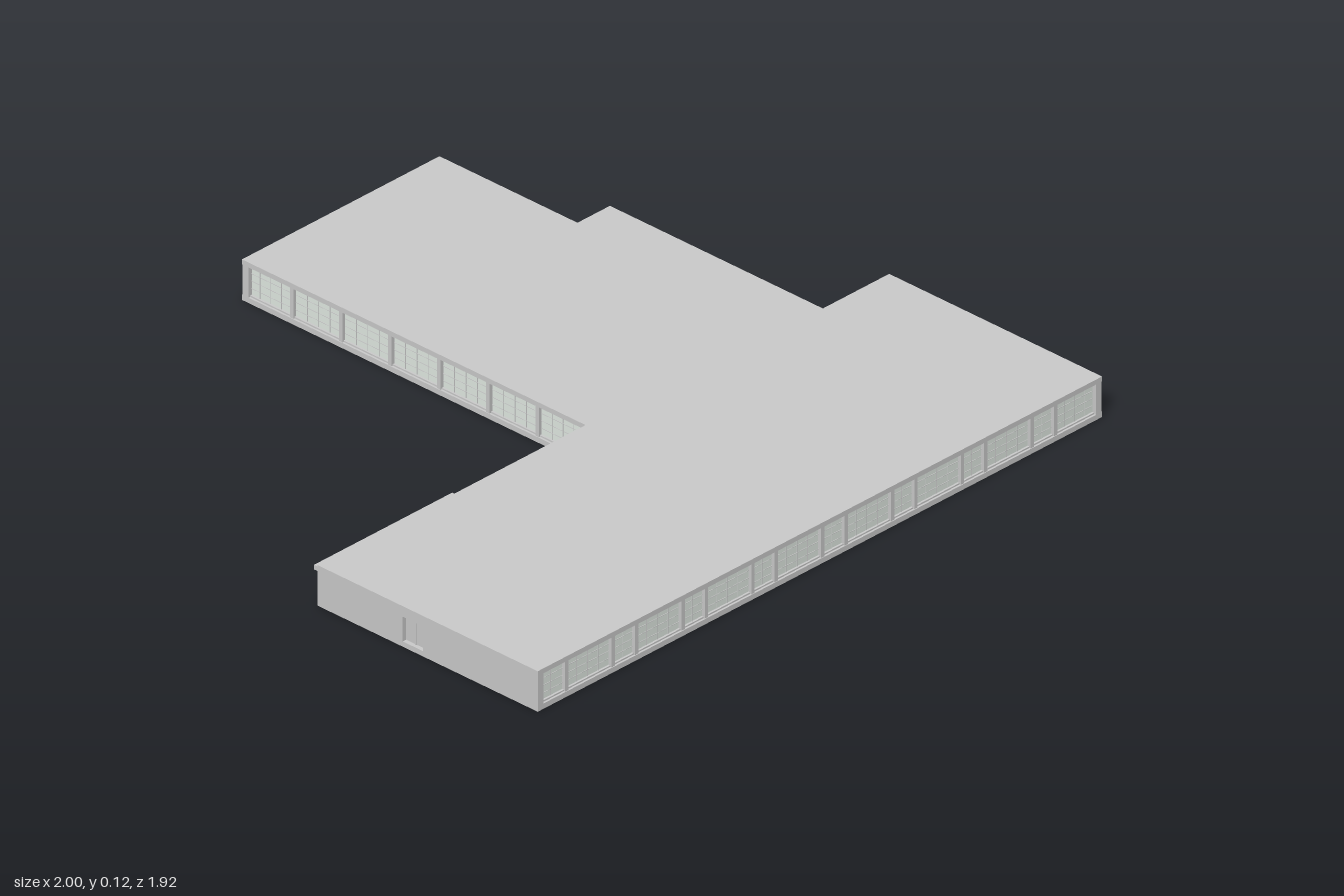
import * as THREE from 'three';

const H = 0.115, FLOOR = 0.015, CEIL = 0.101;
const grey = new THREE.MeshStandardMaterial({ color: 0xcccccc });
const glass = new THREE.MeshStandardMaterial({ color: 0xe2ebe4 });

// Footprint corners (x, z), walked so that each wall faces outward
const OUTLINE = [
  [-1, 0.96], [1, 0.96], [1, 0.235], [0.765, 0.235], [0.765, -0.49],
  [0.65, -0.49], [0.65, -0.96], [-0.05, -0.96], [-0.05, 0.21], [-1, 0.21],
];

function box(parent, name, x0, x1, y0, y1, z0, z1, material = grey) {
  const mesh = new THREE.Mesh(new THREE.BoxGeometry(x1 - x0, y1 - y0, z1 - z0), material);
  mesh.position.set((x0 + x1) / 2, (y0 + y1) / 2, (z0 + z1) / 2);
  mesh.name = name;
  parent.add(mesh);
  return mesh;
}

// Horizontal plate with the outline of the building; openings are [x, z, width, depth]
function slab(name, y0, y1, openings = []) {
  const shape = new THREE.Shape(OUTLINE.map(([x, z]) => new THREE.Vector2(x, z)));
  for (const [x, z, w, d] of openings) {
    shape.holes.push(new THREE.Path([[-1, -1], [-1, 1], [1, 1], [1, -1]]
      .map(([i, j]) => new THREE.Vector2(x + i * w / 2, z + j * d / 2))));
  }
  const geometry = new THREE.ExtrudeGeometry(shape, { depth: y1 - y0, bevelEnabled: false });
  geometry.rotateX(Math.PI / 2);
  const mesh = new THREE.Mesh(geometry, grey);
  mesh.position.y = y1;
  mesh.name = name;
  return mesh;
}

// Group whose local x runs along a wall and whose local +z points outward
function wallFrame(name, index) {
  const [ax, az] = OUTLINE[index];
  const [bx, bz] = OUTLINE[(index + 1) % OUTLINE.length];
  const group = new THREE.Group();
  group.name = name;
  group.position.set(ax, 0, az);
  group.rotation.y = Math.atan2(az - bz, bx - ax);
  group.userData.length = Math.hypot(bx - ax, bz - az);
  return group;
}

// Glazed wall: posts centred on the given distances, panes with fine bars between them
function glazedWall(name, index, posts, postWidth = 0.012, endWidth = 0.014) {
  const wall = wallFrame(name, index);
  const length = wall.userData.length;
  const r = postWidth / 2;
  const edges = [[0, endWidth], ...posts.map((p) => [p - r, p + r]), [length - endWidth, length]];
  for (const [a, b] of edges) box(wall, 'post', a, b, FLOOR, CEIL, -0.022, -0.002);
  for (let i = 0; i < edges.length - 1; i++) {
    const a = edges[i][1], b = edges[i + 1][0];
    box(wall, 'pane', a, b, FLOOR, CEIL, -0.016, -0.012, glass);
    // Frame rails and fine glazing bars
    box(wall, 'sill', a, b, FLOOR, FLOOR + 0.004, -0.019, -0.006);
    box(wall, 'head', a, b, CEIL - 0.004, CEIL, -0.019, -0.006);
    const count = Math.max(1, Math.round((b - a) / 0.038));
    for (let k = 1; k < count; k++) {
      const x = a + (b - a) * k / count;
      box(wall, 'mullion', x - 0.0007, x + 0.0007, FLOOR, CEIL, -0.012, -0.0105);
    }
    for (const y of [0.037, 0.058, 0.079]) {
      box(wall, 'transom', a, b, y - 0.0006, y + 0.0006, -0.012, -0.0105);
    }
  }
  return wall;
}

const evenly = (length, count) => Array.from({ length: count - 1 }, (_, i) => length * (i + 1) / count);

export function createModel() {
  const model = new THREE.Group();
  model.name = 'officeStorey';

  // Floor with stair and lift openings, roof plate
  model.add(slab('floorSlab', 0, FLOOR, [
    [0.467, 0.42, 0.06, 0.12], [0.273, 0.43, 0.06, 0.12],
    [0.136, 0.316, 0.1, 0.07], [-0.456, 0.34, 0.06, 0.12],
  ]));
  model.add(slab('roofSlab', CEIL, H));

  // Front: alternating narrow and wide bays
  const frontPosts = [];
  for (let i = 0; i < 8; i++) {
    frontPosts.push(0.105 + i * 0.2475);
    if (i < 7) frontPosts.push(0.27 + i * 0.2475);
  }
  model.add(glazedWall('frontWall', 0, frontPosts));

  // Right side of the front wing
  model.add(glazedWall('rightWingWall', 1, [0.055, 0.135, 0.215, 0.38, 0.46, 0.625], 0.012, 0.012));

  // Stepped walls on the right
  model.add(glazedWall('rightStepWall', 2, []));
  model.add(glazedWall('rightMiddleWall', 3, []));
  model.add(glazedWall('backStepWall', 4, []));
  const rear = glazedWall('rightRearWall', 5, []);
  box(rear, 'cornerPier', 0.435, 0.47, FLOOR, CEIL, -0.03, -0.001);
  model.add(rear);

  // Back end and the inner corner on the left
  model.add(glazedWall('backWall', 6, [0.17, 0.53]));
  model.add(glazedWall('leftRearWall', 7, evenly(1.17, 7)));
  model.add(glazedWall('leftWingBackWall', 8, evenly(0.95, 6)));

  // Solid left end with a recessed door
  const end = wallFrame('leftEndWall', 9);
  const doorA = 0.29, doorB = 0.36, length = end.userData.length;
  box(end, 'wallPanel', 0, doorA, FLOOR, CEIL, -0.02, 0);
  box(end, 'wallPanel', doorB, length, FLOOR, CEIL, -0.02, 0);
  box(end, 'doorLintel', doorA, doorB, 0.085, CEIL, -0.02, 0);
  box(end, 'door', doorA, doorB, FLOOR, 0.085, -0.018, -0.012);
  box(end, 'doorJamb', (doorA + doorB) / 2 - 0.001, (doorA + doorB) / 2 + 0.001, FLOOR, 0.085, -0.012, -0.009);
  model.add(end);

  // Slim canopy behind the left wing and column at the stepped corner
  box(model, 'canopy', -1, -0.51, 0.098, 0.111, 0.198, 0.212);
  box(model, 'cornerColumn', 0.725, 0.765, FLOOR, CEIL, -0.49, -0.475);

  return model;
}
